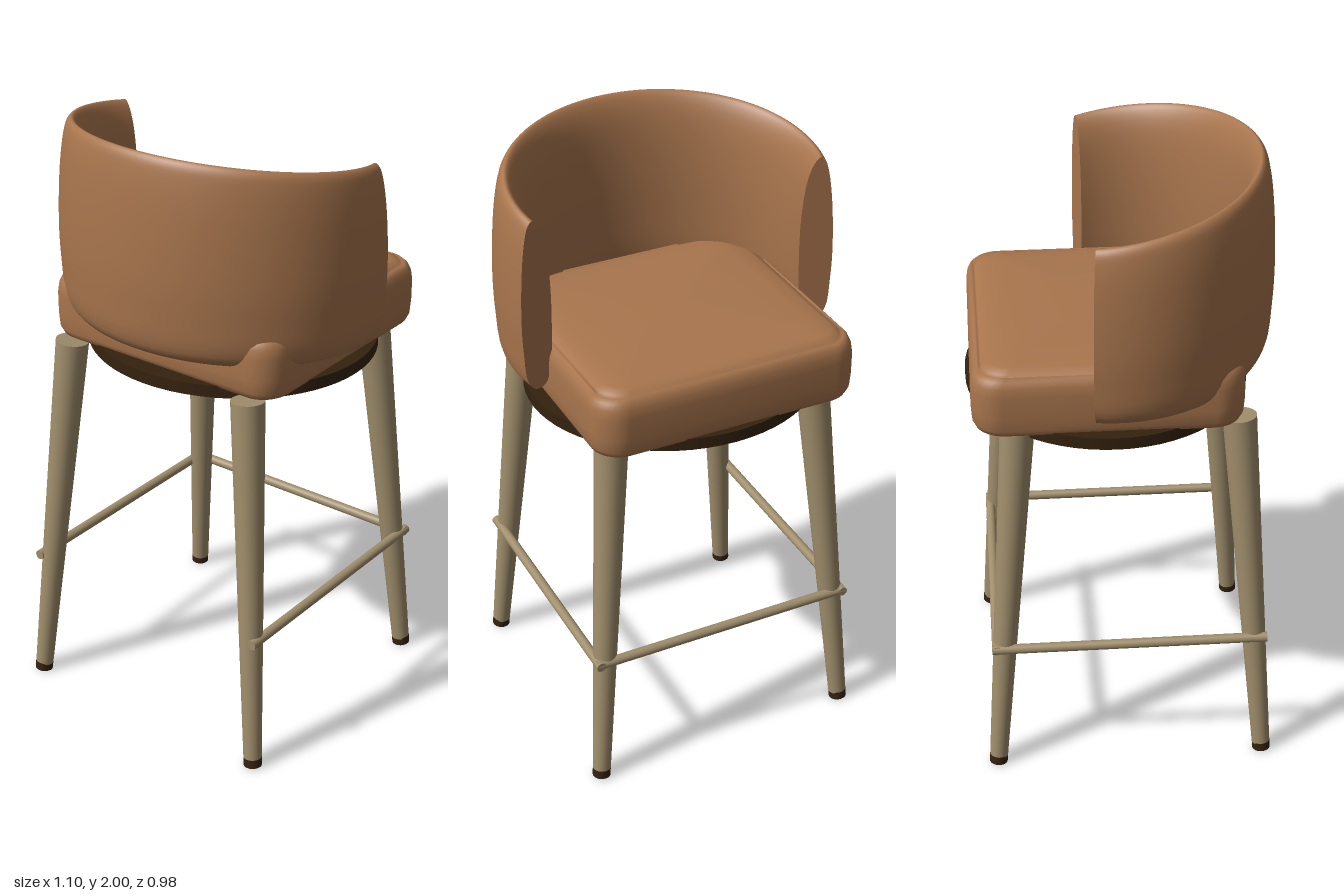
import * as THREE from 'three';

const leather = new THREE.MeshStandardMaterial({ color: 0xa8754d });
leather.name = 'tan leather';
const wood = new THREE.MeshStandardMaterial({ color: 0xa08e6c });
wood.name = 'pale wood';
const dark = new THREE.MeshStandardMaterial({ color: 0x35220f });
dark.name = 'dark brown';

// Skins a list of equal closed rings and caps both ends with sharp edges.
function loft(rings) {
  const n = rings[0].length;
  const pos = [];
  const index = [];
  rings.forEach((ring) => ring.forEach((p) => pos.push(p.x, p.y, p.z)));
  for (let i = 0; i < rings.length - 1; i++) {
    for (let j = 0; j < n; j++) {
      const k = (j + 1) % n;
      const a = i * n + j, b = i * n + k, c = b + n, d = a + n;
      index.push(a, b, c, a, c, d);
    }
  }
  [rings[0], rings[rings.length - 1]].forEach((ring, end) => {
    const start = pos.length / 3;
    const mid = new THREE.Vector3();
    ring.forEach((p) => { pos.push(p.x, p.y, p.z); mid.addScaledVector(p, 1 / n); });
    pos.push(mid.x, mid.y, mid.z);
    for (let j = 0; j < n; j++) {
      const a = start + j, b = start + (j + 1) % n;
      if (end) index.push(start + n, a, b);
      else index.push(start + n, b, a);
    }
  });
  const geo = new THREE.BufferGeometry();
  geo.setAttribute('position', new THREE.Float32BufferAttribute(pos, 3));
  geo.setIndex(index);
  geo.computeVertexNormals();
  return geo;
}

function addMesh(parent, name, geo, mat) {
  const mesh = new THREE.Mesh(geo, mat);
  mesh.name = name;
  parent.add(mesh);
  return mesh;
}

// Round bar between two points.
function addBar(parent, name, from, to, r0, r1, mat) {
  const a = new THREE.Vector3(...from);
  const dir = new THREE.Vector3(...to).sub(a);
  const mesh = addMesh(parent, name, new THREE.CylinderGeometry(r1, r0, dir.length(), 24), mat);
  mesh.position.copy(a).addScaledVector(dir, 0.5);
  mesh.quaternion.setFromUnitVectors(new THREE.Vector3(0, 1, 0), dir.normalize());
  return mesh;
}

// Horizontal rounded rectangle pulled in by an inset.
function seatRing(inset, y) {
  const hw = 0.445 - inset, hd = 0.42 - inset;
  const r = Math.min(hd, Math.max(0.02, 0.095 - inset * 0.5));
  const pts = [];
  [[1, 1], [-1, 1], [-1, -1], [1, -1]].forEach(([sx, sz], q) => {
    for (let i = 0; i <= 8; i++) {
      const a = (q + i / 8) * Math.PI / 2;
      pts.push(new THREE.Vector3(
        sx * (hw - r) + r * Math.cos(a), y,
        -0.055 - sz * (hd - r) - r * Math.sin(a)));
    }
  });
  return pts;
}

// Seat cushion with a seam groove around a softly crowned top.
function seatGeometry() {
  const profile = [
    [0.06, 1.25], [0.03, 1.253], [0.012, 1.265], [0.003, 1.285], [0, 1.33],
    [0, 1.4], [0.004, 1.43], [0.012, 1.45], [0.024, 1.462], [0.03, 1.452],
    [0.036, 1.464], [0.06, 1.475], [0.12, 1.483], [0.25, 1.488], [0.4, 1.49],
  ];
  return loft(profile.map(([inset, y]) => seatRing(inset, y)));
}

// Wraparound back: a lens-like section swept round an elliptical arc.
function backGeometry() {
  const H = 0.62;
  const section = new THREE.CatmullRomCurve3([
    [-0.045, 0], [-0.016, 0.06], [-0.003, 0.25], [0, 0.45], [-0.01, 0.75],
    [-0.025, 0.92], [-0.037, 0.98], [-0.052, 1], [-0.07, 0.97], [-0.092, 0.87],
    [-0.108, 0.65], [-0.11, 0.35], [-0.1, 0.1], [-0.08, 0.01],
  ].map(([d, v]) => new THREE.Vector3(d, v * H, 0)), true).getPoints(56).slice(0, -1);
  const rings = [];
  const steps = 64, start = -0.227;
  for (let i = 0; i <= steps; i++) {
    const phi = start + (Math.PI - 2 * start) * i / steps;
    const z = 0.45 * Math.sin(phi);
    const bottom = 1.34 + 0.045 * z, top = 1.927 + 0.164 * z;
    rings.push(section.map((p) => new THREE.Vector3(
      (0.55 + p.x) * Math.cos(phi),
      bottom + (top - bottom) * p.y / H,
      (0.49 + p.x) * Math.sin(phi))));
  }
  return loft(rings);
}

export function createModel() {
  const model = new THREE.Group();
  model.name = 'barStool';

  addMesh(model, 'seatCushion', seatGeometry(), leather);
  addMesh(model, 'backrest', backGeometry(), leather);

  // Oval plate under the seat
  const plate = addMesh(model, 'seatPlate', new THREE.CylinderGeometry(1, 1, 0.04, 64), dark);
  plate.scale.set(0.48, 1, 0.453);
  plate.position.set(0, 1.25, -0.037);

  // Splayed tapered legs with dark feet
  for (const sx of [-1, 1]) {
    for (const [name, zFoot, zTop] of [['backrestLeg', 0.45, 0.352], ['openSideLeg', -0.432, -0.335]]) {
      addBar(model, name, [sx * 0.45, 0.025, zFoot], [sx * 0.35, 1.255, zTop], 0.03, 0.054, wood);
      addBar(model, 'foot', [sx * 0.452, 0, zFoot + Math.sign(zFoot) * 0.002],
        [sx * 0.45, 0.03, zFoot], 0.03, 0.03, dark);
    }
    addBar(model, 'sideStretcher', [sx * 0.445, 0.46, -0.44], [sx * 0.445, 0.46, 0.455], 0.016, 0.016, wood);
  }
  addBar(model, 'footrest', [-0.455, 0.46, -0.425], [0.455, 0.46, -0.425], 0.016, 0.016, wood);

  return model;
}
